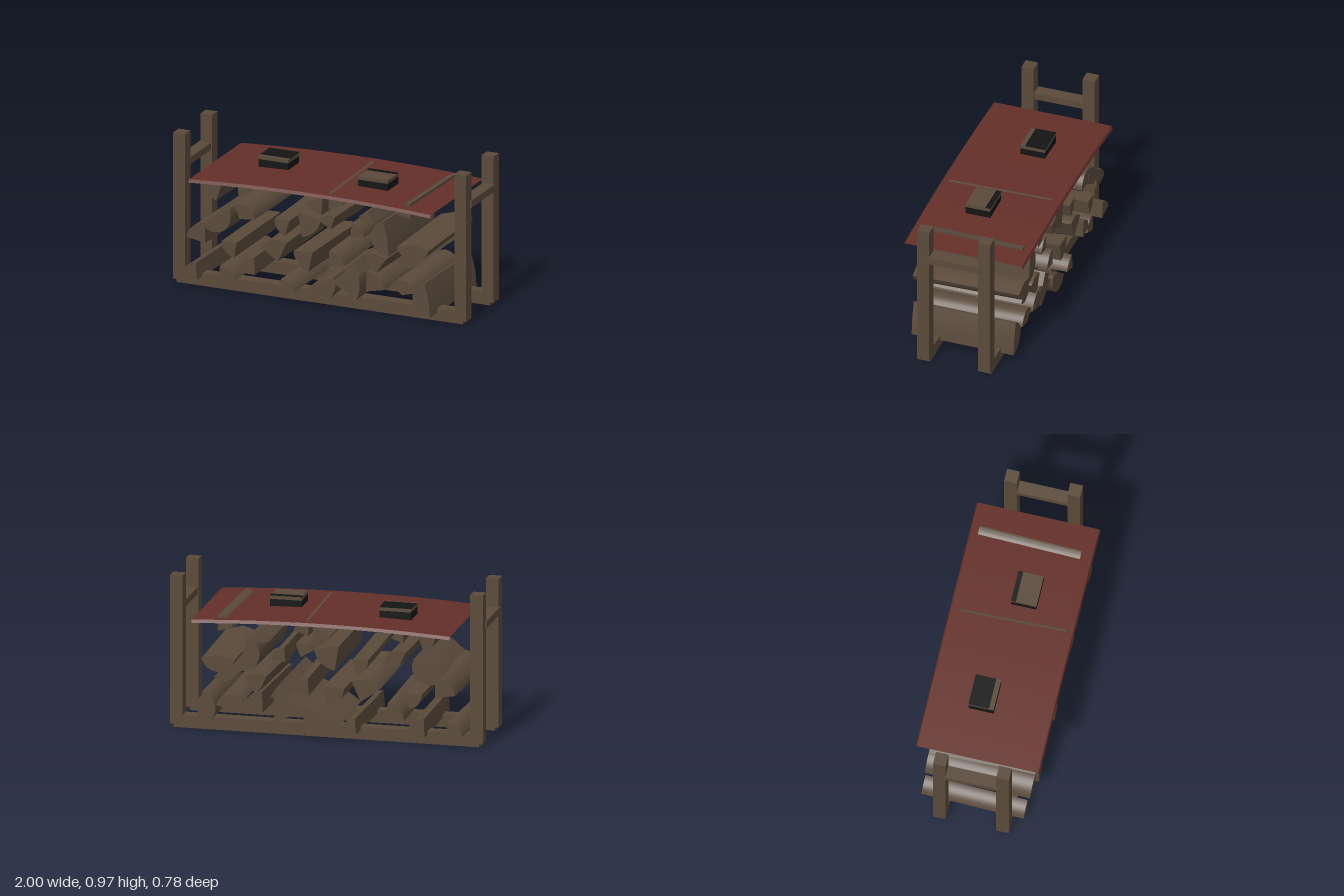
import * as THREE from 'three';
import { toCreasedNormals } from 'three/addons/utils/BufferGeometryUtils.js';

const wood = new THREE.MeshStandardMaterial({ color: 0x5a4a3b });
wood.name = 'wood brown';
const cloth = new THREE.MeshStandardMaterial({ color: 0x642f28, side: THREE.DoubleSide });
cloth.name = 'tarp red';
const black = new THREE.MeshStandardMaterial({ color: 0x141414 });
black.name = 'weight black';

// Split logs: apex x, apex y, radius (hundredths), middle angle and sweep (degrees)
const lowerLogs = [
  [-79, 6, 11, 130, 70], [-64, 6, 12, 55, 65], [-22, 6, 10, 50, 70], [1, 15.5, 12, 300, 170],
  [13, 19, 19, 0, 60], [37, 16, 13, 50, 75], [59, 16, 9.5, 80, 130], [79, 16, 11, 190, 170],
  [-40, 16, 11, 135, 85], [-53, 34, 10, 220, 80], [-72, 32, 13, 130, 80], [-24, 27, 14, 105, 80],
  [-1, 35, 13, 220, 75], [10, 28, 11, 50, 75], [28, 34, 9, 262, 85], [41, 26, 14, 85, 60],
];
const upperLogs = [
  [-67, 51, 11, 305, 165], [-49, 51, 10, 60, 110], [-18, 53, 10, 215, 75], [-10, 61, 16, 315, 70],
  [13, 53, 9, 110, 80], [24, 49, 9, 45, 80], [51, 52, 11, 190, 170], [67, 51, 11, 270, 150],
  [63, 43, 9, 265, 95], [-61, 71, 11, 215, 70], [-43, 69, 8, 165, 70], [6, 72, 12, 235, 60],
  [10, 66, 10.2, 55, 70], [38, 68, 7.5, 255, 90], [66, 66, 10.2, 130, 75],
];

function box(parent, name, material, w, h, d, x, y, z) {
  const mesh = new THREE.Mesh(new THREE.BoxGeometry(w, h, d), material);
  mesh.name = name;
  mesh.position.set(x, y, z);
  parent.add(mesh);
}

// Wedge-shaped log lying along z
function splitLog([x, y, r, mid, sweep], i) {
  const a = THREE.MathUtils.degToRad(mid - sweep / 2);
  const b = THREE.MathUtils.degToRad(mid + sweep / 2);
  const shape = new THREE.Shape();
  shape.moveTo(0, 0);
  shape.lineTo(Math.cos(a) * r / 100, Math.sin(a) * r / 100);
  shape.absarc(0, 0, r / 100, a, b, false);
  shape.lineTo(0, 0);
  const length = 0.65 + 0.02 * (i % 3);
  const geometry = new THREE.ExtrudeGeometry(shape, { depth: length, bevelEnabled: false, curveSegments: 8 });
  geometry.translate(0, 0, -length / 2);
  const mesh = new THREE.Mesh(toCreasedNormals(geometry, 0.6), wood);
  mesh.name = 'splitLog';
  mesh.position.set(x / 100, y / 100, 0.01 * ((i * 2) % 3 - 1));
  mesh.rotation.y = 0.012 * ((i * 3) % 5 - 2);
  return mesh;
}

// Sheet bowed along x, with a short hem folded down at front and back
function tarp() {
  const zs = [-0.392, -0.384, 0, 0.384, 0.392];
  const geometry = new THREE.PlaneGeometry(1.64, 0.78, 24, 4).rotateX(-Math.PI / 2);
  const p = geometry.attributes.position;
  for (let i = 0; i < p.count; i++) {
    const row = Math.floor(i / 25);
    const bow = 0.027 * (p.getX(i) / 0.82) ** 2;
    p.setY(i, 0.761 - bow - (row === 0 || row === 4 ? 0.02 : 0));
    p.setZ(i, zs[row]);
  }
  const mesh = new THREE.Mesh(toCreasedNormals(geometry, 0.5), cloth);
  mesh.name = 'tarp';
  return mesh;
}

export function createModel() {
  const model = new THREE.Group();
  model.name = 'firewoodRack';

  // Rack frame
  const frame = new THREE.Group();
  frame.name = 'frame';
  for (const z of [-0.2, 0.2]) {
    box(frame, 'bottomRail', wood, 1.94, 0.08, 0.08, 0, 0.04, z);
    for (const x of [-0.953, 0.953]) box(frame, 'post', wood, 0.08, 0.95, 0.08, x, 0.495, z);
  }
  for (const x of [-0.96, 0.96]) box(frame, 'endBar', wood, 0.08, 0.045, 0.36, x, 0.767, 0);
  model.add(frame);

  // Stacked firewood
  const stack = new THREE.Group();
  stack.name = 'firewood';
  [...lowerLogs, ...upperLogs].forEach((log, i) => stack.add(splitLog(log, i)));
  model.add(stack);

  model.add(tarp());

  // Weights holding the tarp down, each with a black strip on top
  for (const [x, z, stripZ, stripDepth] of [[-0.41, -0.05, -0.065, 0.13], [0.31, 0.05, -0.015, 0.03]]) {
    const weight = new THREE.Group();
    weight.name = 'weight';
    box(weight, 'weightBase', black, 0.2, 0.05, 0.16, x, 0.775, z);
    box(weight, 'weightTop', wood, 0.2, 0.022, 0.16, x, 0.811, z);
    box(weight, 'weightStrip', black, 0.2, 0.004, stripDepth, x, 0.824, stripZ);
    model.add(weight);
  }
  return model;
}
